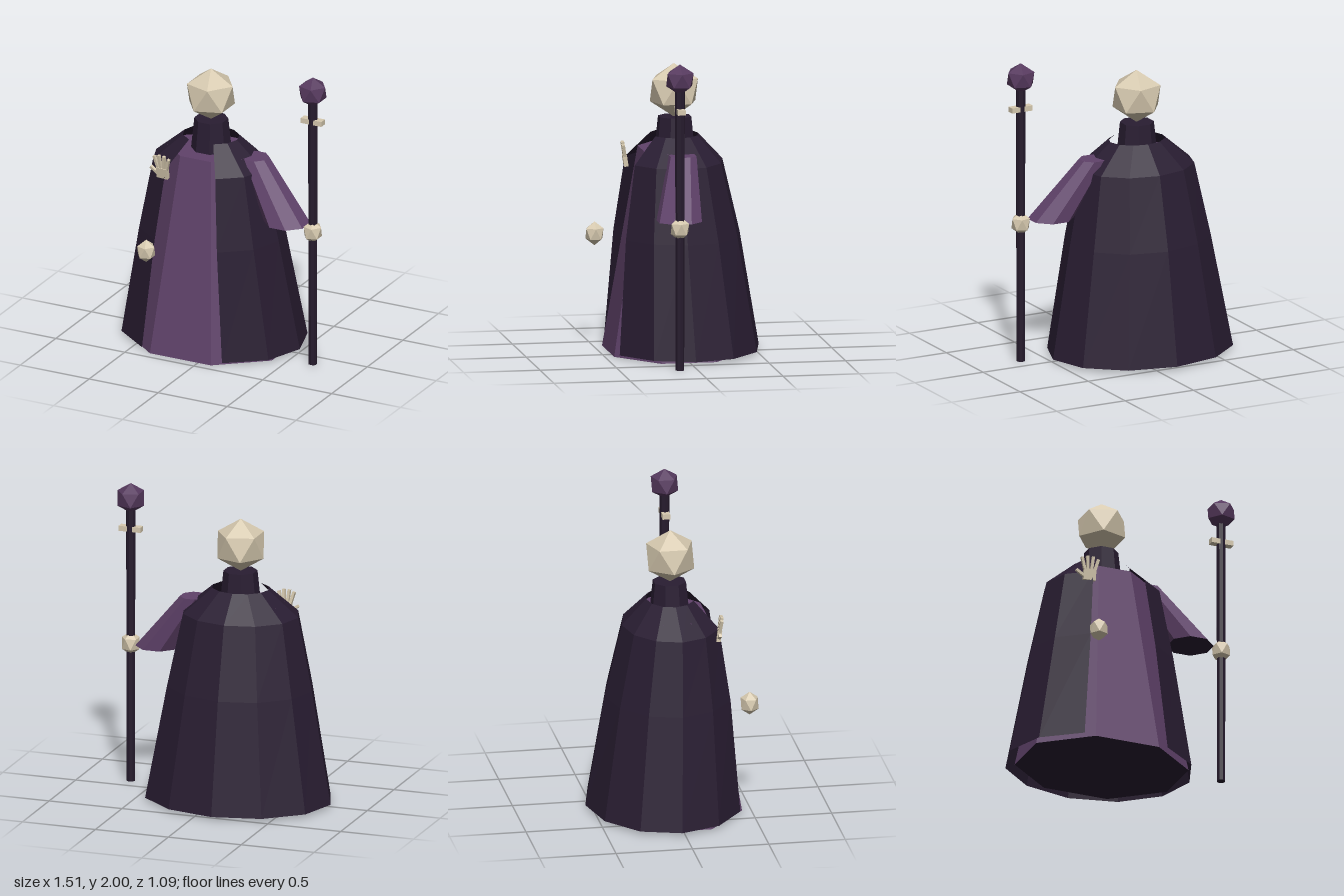
import * as THREE from 'three';

const makeMat = (name, color, extra = {}) => {
  const m = new THREE.MeshStandardMaterial({ color, flatShading: true, ...extra });
  m.name = name;
  return m;
};

export function createModel() {
  const cloakMat = makeMat('dark cloak', 0x291d32, { side: THREE.DoubleSide });
  const staffMat = makeMat('staff wood', 0x261b2d);
  const robeMat = makeMat('purple robe', 0x60426a);
  const orbMat = makeMat('orb violet', 0x573a5f);
  const boneMat = makeMat('pale bone', 0xd7cab0);

  const model = new THREE.Group();
  model.name = 'robedFigure';
  const bodyX = -0.128;

  const add = (name, geo, mat, x = 0, y = 0, z = 0, parent = model) => {
    const mesh = new THREE.Mesh(geo, mat);
    mesh.name = name;
    mesh.position.set(x, y, z);
    parent.add(mesh);
    return mesh;
  };

  // eight-sided tapered column with a flat face to the front
  const octagon = (top, bottom, height) =>
    new THREE.CylinderGeometry(top, bottom, height, 8, 1, false, Math.PI / 8);

  // icosahedron standing on one of its corners
  const gem = (r) => new THREE.IcosahedronGeometry(r, 0).rotateZ(-Math.atan(2 / (1 + Math.sqrt(5))));

  // purple cloth with a dark underside: side, top, bottom
  const clothMats = [robeMat, robeMat, cloakMat];

  // robe: elliptical octagonal frustum
  const robeGeo = octagon(0.291, 0.577, 1.32).scale(1, 1, 0.808);
  add('robe', robeGeo, clothMats, bodyX, 0.66, 0.01);

  // cloak: open-fronted shell through four elliptical rings [y, rx, rz, z centre]
  const rings = [
    [1.41, 0.19, 0.157, 0.009],
    [1.24, 0.39, 0.321, 0.014],
    [0.76, 0.489, 0.416, -0.004],
    [0.02, 0.628, 0.51, -0.035],
  ];
  const gap = 0.48;
  const cloakGeo = new THREE.CylinderGeometry(1, 1, 3, 10, 3, true, gap, Math.PI * 2 - gap * 2);
  const p = cloakGeo.attributes.position;
  for (let i = 0; i < p.count; i++) {
    const [y, rx, rz, cz] = rings[Math.round(1.5 - p.getY(i))];
    p.setXYZ(i, p.getX(i) * rx, y, p.getZ(i) * rz + cz);
  }
  cloakGeo.computeVertexNormals();
  add('cloak', cloakGeo, cloakMat, bodyX);

  // collar and head
  add('collar', octagon(0.11, 0.132, 0.215), cloakMat, bodyX, 1.4175, 0.005);
  add('head', gem(0.175), boneMat, bodyX, 1.696, 0.01);

  // sleeve: frustum sheared outward, both ends kept level
  const sleeveGeo = octagon(0.091, 0.15, 0.38);
  const s = sleeveGeo.attributes.position;
  for (let i = 0; i < s.count; i++) {
    const t = s.getY(i) / 0.38;
    s.setX(i, s.getX(i) - t * 0.27);
    s.setZ(i, s.getZ(i) - t * 0.072);
  }
  sleeveGeo.computeVertexNormals();
  add('leftSleeve', sleeveGeo, clothMats, 0.327, 1.13, 0.046);

  // staff with its orb, crossbar and gripping fist
  const staff = new THREE.Group();
  staff.name = 'staff';
  staff.position.set(0.664, 0, 0.114);
  model.add(staff);
  add('staffPole', new THREE.CylinderGeometry(0.032, 0.028, 1.84, 8), staffMat, 0, 0.92, 0, staff);
  add('staffOrb', gem(0.1), orbMat, 0, 1.9, 0, staff);
  add('staffCrossbar', new THREE.BoxGeometry(0.15, 0.034, 0.05), boneMat, 0, 1.695, 0, staff);
  add('leftFist', gem(0.067).scale(1, 1.18, 1), boneMat, 0, 0.925, 0, staff);

  // loose fist in front of the robe
  add('rightFist', gem(0.066).scale(1, 1.18, 1), boneMat, -0.35, 0.734, 0.49);

  // small open hand with spread fingers
  const hand = new THREE.Group();
  hand.name = 'openHand';
  hand.position.set(-0.332, 1.21, 0.292);
  hand.rotation.set(0.15, -0.1, 0);
  model.add(hand);
  add('palm', new THREE.BoxGeometry(0.082, 0.072, 0.028), boneMat, 0, 0, 0, hand);
  const digit = (name, x, y, angle, length) => {
    const geo = new THREE.BoxGeometry(0.018, length, 0.02).translate(0, length / 2, 0);
    add(name, geo, boneMat, x, y, 0, hand).rotation.z = angle;
  };
  [[-0.031, 0.28, 0.092], [-0.011, 0.1, 0.1], [0.011, -0.08, 0.1], [0.031, -0.26, 0.088]]
    .forEach(([x, angle, length], i) => digit('finger' + (i + 1), x, 0.025, angle, length));
  digit('thumb', -0.028, -0.015, 1.0, 0.075);

  return model;
}
